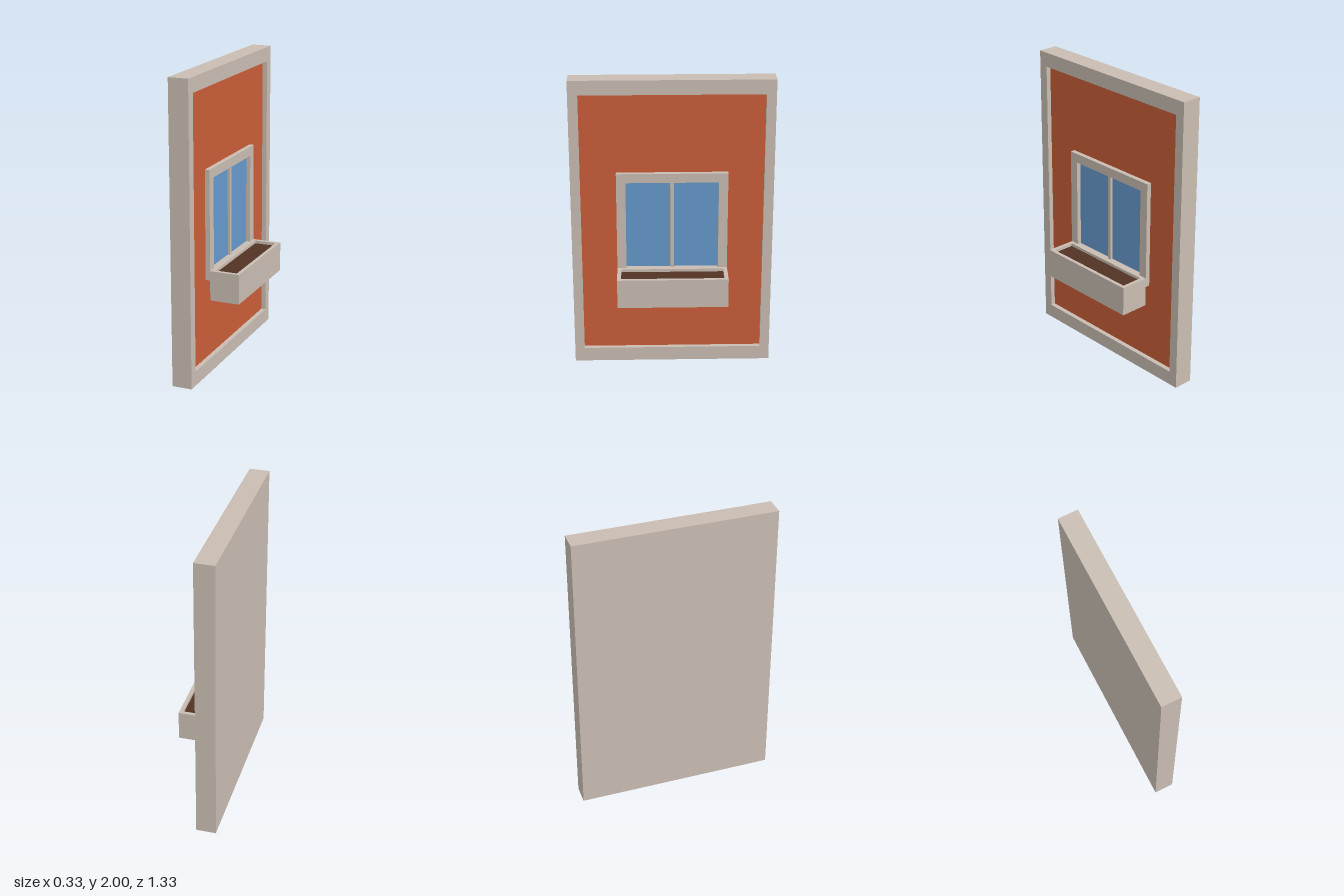
import * as THREE from 'three';

const mat = (name, color) => new THREE.MeshStandardMaterial({ name, color });

// Rectangular ring, w by h with a hole (holeW by holeH), lying in XY and extruded along +z
function ring(w, h, holeW, holeH, depth) {
  const corners = (a, b) => [[-a, -b], [a, -b], [a, b], [-a, b]].map(([x, y]) => new THREE.Vector2(x / 2, y / 2));
  const shape = new THREE.Shape(corners(w, h));
  shape.holes.push(new THREE.Path(corners(holeW, holeH).reverse()));
  return new THREE.ExtrudeGeometry(shape, { depth, bevelEnabled: false });
}

export function createModel() {
  const group = new THREE.Group();
  const stone = mat('stone', 0xc9bdb2);
  const orange = mat('orangePlaster', 0xc95d38);
  const blue = mat('blueGlass', 0x6699cc);
  const brown = mat('soilBrown', 0x523324);

  const add = (name, geometry, material, x, y, z = 0) => {
    const mesh = new THREE.Mesh(geometry, material);
    mesh.name = name;
    mesh.position.set(x, y, z);
    group.add(mesh);
    return mesh;
  };
  // Box given by its x and y ranges, and its width along z
  const block = (name, material, x0, x1, y0, y1, width) =>
    add(name, new THREE.BoxGeometry(x1 - x0, y1 - y0, width), material, (x0 + x1) / 2, (y0 + y1) / 2);

  const back = -0.167, recess = -0.067, face = -0.033;

  // Wall slab with a raised border around the plaster panel
  block('wallSlab', stone, back, recess, 0, 2, 1.333);
  add('wallBorder', ring(1.333, 2, 1.206, 1.806, face - recess).rotateY(Math.PI / 2), stone, recess, 1);
  block('plasterPanel', orange, recess, recess + 0.002, 0.097, 1.903, 1.206);

  // Window: frame, pane and centre bar
  const windowY = 1.003;
  add('windowFrame', ring(0.734, 0.734, 0.612, 0.608, face - recess).rotateY(Math.PI / 2), stone, recess, windowY);
  block('windowPane', blue, recess, recess + 0.005, windowY - 0.304, windowY + 0.304, 0.612);
  block('windowBar', stone, recess, recess + 0.022, windowY - 0.304, windowY + 0.304, 0.025);

  // Planter box hung in front of the window
  add('planterWalls', ring(0.2, 0.734, 0.15, 0.682, 0.17).rotateX(-Math.PI / 2), stone, face + 0.1, 0.53);
  block('planterBase', stone, face, face + 0.2, 0.5, 0.53, 0.734);
  block('soil', brown, face + 0.025, face + 0.175, 0.53, 0.68, 0.682);

  return group;
}
